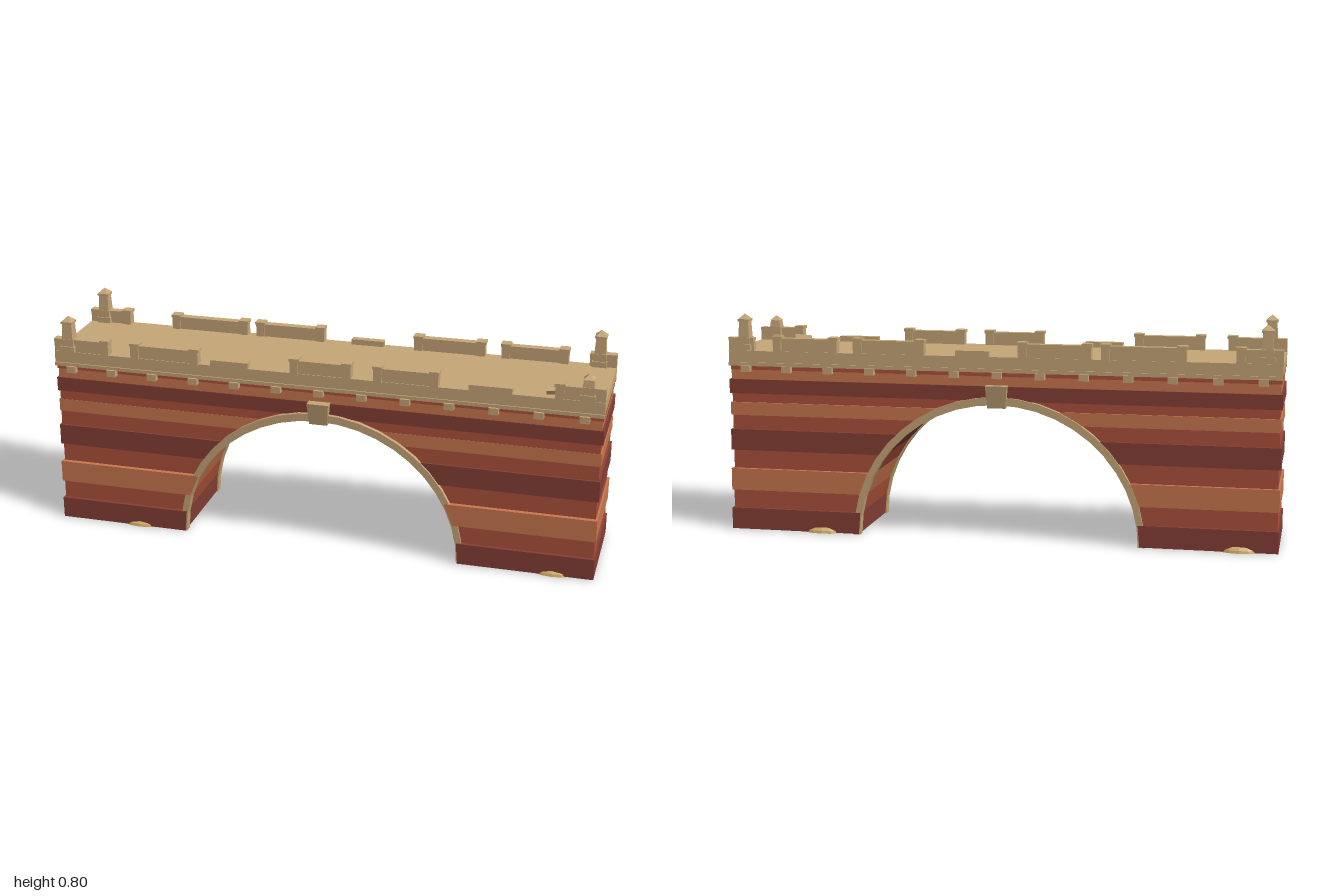
import * as THREE from 'three';

const paint = (name, hex) => {
  const m = new THREE.MeshStandardMaterial({ color: hex });
  m.name = name;
  return m;
};

export function createModel() {
  const bridge = new THREE.Group();
  bridge.name = 'bridge';
  const mats = {
    dark: paint('dark red brick', 0x853f35),
    mid: paint('red brick', 0xad513b),
    light: paint('orange brick', 0xc9774f),
    stone: paint('tan stone', 0xc6a678),
    sand: paint('sand', 0xd3b169),
  };

  const add = (name, geo, mat, parent = bridge) => {
    const mesh = new THREE.Mesh(geo, mat);
    mesh.name = name;
    parent.add(mesh);
    return mesh;
  };
  const box = (name, x0, x1, y0, y1, z0, z1, mat = mats.stone, parent = bridge) => {
    const m = add(name, new THREE.BoxGeometry(x1 - x0, y1 - y0, z1 - z0), mat, parent);
    m.position.set((x0 + x1) / 2, (y0 + y1) / 2, (z0 + z1) / 2);
    return m;
  };

  // Masonry courses: bottom, top, colour, front z, back z, end x
  const courses = [
    [0.002, 0.08, 'dark', 0.198, 0.194, 0.995],
    [0.08, 0.147, 'mid', 0.185, 0.181, 0.99],
    [0.147, 0.227, 'light', 0.194, 0.19, 0.995],
    [0.227, 0.295, 'mid', 0.177, 0.176, 0.988],
    [0.295, 0.372, 'dark', 0.185, 0.185, 0.995],
    [0.372, 0.425, 'mid', 0.177, 0.174, 0.989],
    [0.425, 0.472, 'light', 0.178, 0.184, 0.993],
    [0.472, 0.505, 'mid', 0.177, 0.177, 0.988],
    [0.505, 0.557, 'dark', 0.179, 0.184, 0.996],
    [0.557, 0.592, 'light', 0.175, 0.178, 0.989],
    [0.592, 0.618, 'mid', 0.178, 0.178, 0.992],
  ];
  const archRise = 0.5;
  const archX = (y) => 0.512 * Math.sqrt(Math.max(0, 1 - (y / archRise) ** 2));
  for (const [y0, y1, colour, front, back, end] of courses) {
    for (const side of [-1, 1]) {
      const pts = [[end, y1], [end, y0]];
      const top = Math.min(y1, archRise);
      const steps = y0 < archRise && y1 > archRise ? 4 : 1;
      if (y0 < archRise) {
        for (let i = 0; i <= steps; i++) {
          const y = y0 + (top - y0) * (1 - (1 - i / steps) ** 2);
          pts.push([archX(y), y]);
        }
      } else pts.push([0, y0]);
      if (y1 > archRise) pts.push([0, y1]);
      const shape = new THREE.Shape(pts.map(([x, y]) => new THREE.Vector2(side * x, y)));
      const geo = new THREE.ExtrudeGeometry(shape, { depth: front + back, bevelEnabled: false });
      geo.translate(0, 0, -back);
      add('brickCourse', geo, mats[colour]);
    }
  }

  // Arch ring outline, shared by both faces
  const ringPts = [];
  const segs = 22;
  for (let i = 0; i <= segs; i++) {
    const a = (Math.PI * i) / segs;
    ringPts.push(new THREE.Vector2(0.53 * Math.cos(a), 0.52 * Math.sin(a)));
  }
  for (let i = segs; i >= 0; i--) {
    const a = (Math.PI * i) / segs;
    ringPts.push(new THREE.Vector2(0.507 * Math.cos(a), 0.492 * Math.sin(a)));
  }
  const ringGeo = new THREE.ExtrudeGeometry(new THREE.Shape(ringPts), { depth: 0.03, bevelEnabled: false });

  // Keystone, wider and further out at its top
  const keyGeo = new THREE.BoxGeometry(0.078, 0.08, 0.034);
  const kp = keyGeo.attributes.position;
  for (let i = 0; i < kp.count; i++) {
    if (kp.getY(i) < 0) {
      kp.setX(i, kp.getX(i) * 0.84);
      if (kp.getZ(i) > 0) kp.setZ(i, kp.getZ(i) - 0.012);
    }
  }
  keyGeo.computeVertexNormals();

  for (const side of [1, -1]) {
    const face = new THREE.Group();
    face.name = side > 0 ? 'frontFace' : 'backFace';
    if (side < 0) face.rotation.y = Math.PI;
    bridge.add(face);
    add('archRing', ringGeo, mats.stone, face).position.z = 0.163;
    add('keystone', keyGeo, mats.stone, face).position.set(0, 0.521, 0.191);
    box('cornice', -0.995, 0.995, 0.607, 0.62, 0.17, 0.191, mats.stone, face);
    for (let i = -6; i <= 6; i++) {
      box('bracket', i * 0.155 - 0.017, i * 0.155 + 0.017, 0.586, 0.61, 0.17, 0.2, mats.stone, face);
    }
  }

  // Deck
  box('deck', -0.995, 0.995, 0.618, 0.662, -0.186, 0.186);

  // Parapet: wall runs with coping, end posts, and low broken stretches
  const parapet = (side, runs, posts, ruins) => {
    const span = (a, b) => (side > 0 ? [a, b] : [-b, -a]);
    for (const [x0, x1] of runs) {
      box('parapetWall', x0, x1, 0.66, 0.7, ...span(0.161, 0.183));
      box('parapetCoping', x0, x1, 0.7, 0.71, ...span(0.157, 0.187));
    }
    for (const x of posts) {
      box('parapetPost', x - 0.015, x + 0.015, 0.655, 0.708, ...span(0.155, 0.19));
      box('postCap', x - 0.018, x + 0.018, 0.706, 0.717, ...span(0.153, 0.191));
    }
    for (const [x0, x1] of ruins) {
      box('brokenWall', x0, x1, 0.66, 0.682, ...span(0.159, 0.186));
    }
  };
  parapet(1,
    [[-0.995, -0.8], [-0.68, -0.46], [-0.09, 0.1], [0.21, 0.41], [0.84, 0.995]],
    [-0.8, -0.685, -0.46, -0.09, 0.1, 0.21, 0.41, 0.84],
    [[-0.4, -0.26], [0.53, 0.68]]);
  parapet(-1,
    [[-0.995, -0.85], [-0.65, -0.385], [-0.32, -0.09], [0.28, 0.51], [0.6, 0.81], [0.9, 0.995]],
    [-0.85, -0.65, -0.385, -0.32, -0.09, 0.28, 0.51, 0.6, 0.81],
    [[0.03, 0.15]]);

  // Corner pinnacles: pedestal, tapering shaft, cap and pyramid
  const square = (bottom, top, h) => {
    const g = new THREE.CylinderGeometry(top * Math.SQRT2, bottom * Math.SQRT2, h, 4).toNonIndexed();
    g.rotateY(Math.PI / 4);
    g.computeVertexNormals();
    return g;
  };
  const pinnacle = (x, z, shaftTop) => {
    const p = new THREE.Group();
    p.name = 'pinnacle';
    p.position.set(x, 0, z);
    bridge.add(p);
    const piece = (name, b, t, y0, y1) =>
      add(name, square(b, t, y1 - y0), mats.stone, p).position.y = (y0 + y1) / 2;
    piece('pedestal', 0.026, 0.026, 0.664, 0.685);
    piece('plinth', 0.022, 0.022, 0.685, 0.712);
    piece('shaft', 0.02, 0.017, 0.712, shaftTop);
    if (shaftTop > 0.75) {
      piece('cap', 0.021, 0.021, shaftTop, shaftTop + 0.008);
      piece('spire', 0.02, 0.001, shaftTop + 0.008, shaftTop + 0.026);
    } else piece('brokenTop', 0.019, 0.001, shaftTop, shaftTop + 0.017);
  };
  pinnacle(-0.94, 0.172, 0.769);
  pinnacle(-0.94, -0.17, 0.769);
  pinnacle(0.935, -0.17, 0.769);
  pinnacle(0.935, 0.168, 0.738);

  // Fallen pinnacle block lying on the deck
  const fallen = box('fallenBlock', 0.79, 0.85, 0.662, 0.684, 0.132, 0.154);
  fallen.rotation.set(0.4, 0.2, 0);

  // Sand drifts at the feet
  for (const [x, z] of [[-0.69, 0.167], [0.85, 0.167], [-0.86, -0.167], [0.65, -0.167]]) {
    const profile = [[0, 0], [1, 0], [0.94, 0.35], [0.75, 0.75], [0.4, 0.97], [0, 1]];
    const geo = new THREE.LatheGeometry(profile.map(([r, y]) => new THREE.Vector2(r, y)), 14).toNonIndexed();
    geo.scale(0.078, 0.026, 0.04);
    geo.computeVertexNormals();
    add('sandDrift', geo, mats.sand).position.set(x, 0, z);
  }
  return bridge;
}
